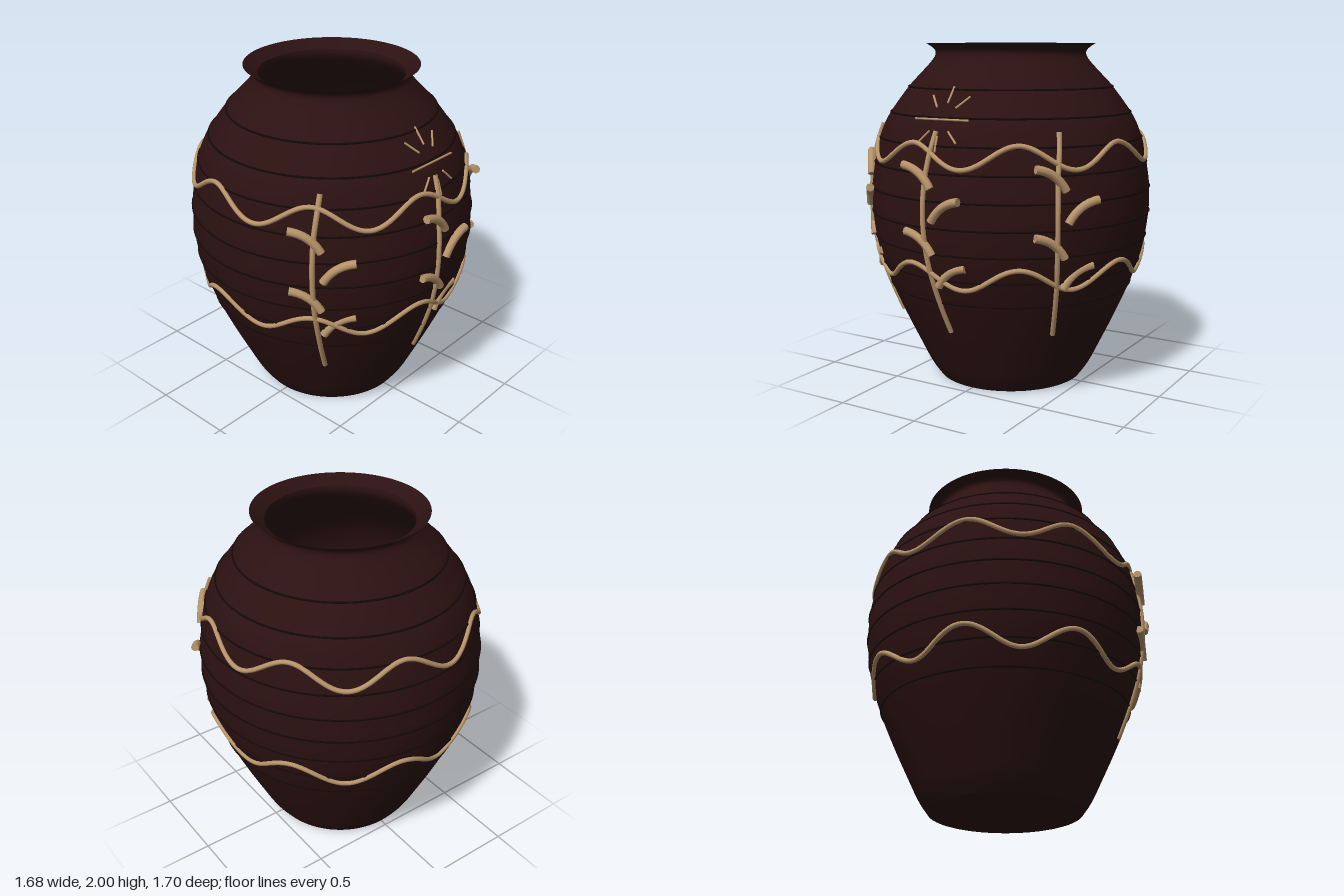
import * as THREE from 'three';
import { mergeGeometries } from 'three/addons/utils/BufferGeometryUtils.js';

const V3 = (x, y, z) => new THREE.Vector3(x, y, z);
const V2 = ([x, y]) => new THREE.Vector2(x, y);

// Outer wall of the jar as [radius, height]
const wall = new THREE.SplineCurve([
  [0.44, 0], [0.495, 0.08], [0.555, 0.2], [0.65, 0.4], [0.735, 0.6], [0.8, 0.8], [0.83, 1.0],
  [0.832, 1.12], [0.826, 1.22], [0.795, 1.4], [0.765, 1.5], [0.715, 1.6], [0.605, 1.75],
  [0.545, 1.815], [0.475, 1.89], [0.446, 1.935], [0.455, 1.968], [0.5, 2.0],
].map(V2)).getPoints(72);

// Radius of the wall at a height
function radiusAt(y) {
  const i = Math.max(1, wall.findIndex((p) => p.y >= y));
  const a = wall[i - 1], b = wall[i];
  return THREE.MathUtils.lerp(a.x, b.x, (y - a.y) / (b.y - a.y));
}

// Point on the wall: angle runs from the front towards +x
function onWall(angle, y, lift = 0) {
  const r = radiusAt(y) + lift;
  return V3(Math.sin(angle) * r, y, Math.cos(angle) * r);
}

// Round bar along a curve, closed by flat ends
function bar(curve, radius, segments, sides = 8) {
  const parts = [new THREE.TubeGeometry(curve, segments, radius, sides, false)];
  for (const t of [0, 1]) {
    const dir = curve.getTangentAt(t).multiplyScalar(t ? 1 : -1);
    const cap = new THREE.CircleGeometry(radius, sides);
    cap.applyQuaternion(new THREE.Quaternion().setFromUnitVectors(V3(0, 0, 1), dir));
    const p = curve.getPointAt(t);
    parts.push(cap.translate(p.x, p.y, p.z));
  }
  return mergeGeometries(parts);
}

export function createModel() {
  const model = new THREE.Group();
  model.name = 'jar';
  const material = (name, color) => {
    const m = new THREE.MeshStandardMaterial({ color });
    m.name = name;
    return m;
  };
  const clay = material('dark clay', 0x2c1111);
  const groove = material('blackened clay', 0x140808);
  const gold = material('pale gold', 0xb8956a);
  const add = (parent, name, geometry, mat) => {
    const mesh = new THREE.Mesh(geometry, mat);
    mesh.name = name;
    parent.add(mesh);
    return mesh;
  };

  // Body, lip, inside and base
  const inside = new THREE.SplineCurve([
    [0.42, 1.95], [0.425, 1.9], [0.5, 1.8], [0.66, 1.6], [0.745, 1.4], [0.78, 1.1],
    [0.75, 0.8], [0.6, 0.4], [0.42, 0.06],
  ].map(V2)).getPoints(32);
  add(model, 'body', new THREE.LatheGeometry(wall, 96), clay);
  add(model, 'lip', new THREE.LatheGeometry([[0.5, 2], [0.42, 1.95]].map(V2), 96), clay);
  add(model, 'inside', new THREE.LatheGeometry(inside, 96), clay);
  add(model, 'floor', new THREE.CircleGeometry(0.42, 64).rotateX(-Math.PI / 2), clay).position.y = 0.06;
  add(model, 'base', new THREE.CircleGeometry(0.44, 96).rotateX(Math.PI / 2), clay);

  // Thin turning rings around the body
  for (let i = 0; i < 9; i++) {
    const y = 0.585 + i * 0.1456;
    const ring = new THREE.TorusGeometry(radiusAt(y), 0.006, 6, 96).rotateX(Math.PI / 2);
    add(model, 'turningRing', ring, groove).position.y = y;
  }

  // Two wavy bands, eight waves each
  for (const [name, y] of [['upperWave', 1.405], ['lowerWave', 0.745]]) {
    const points = [];
    for (let i = 0; i < 96; i++) {
      const a = (i / 96) * Math.PI * 2;
      points.push(onWall(a, y - 0.065 * Math.sin(8 * a), 0.005));
    }
    const path = new THREE.CatmullRomCurve3(points, true);
    add(model, name, new THREE.TubeGeometry(path, 288, 0.014, 8, true), gold);
  }

  // Three stalks with four leaves each
  const stalkLine = [[0, 0.4], [-0.016, 0.55], [-0.03, 0.7], [-0.044, 0.85], [-0.051, 1.0],
    [-0.052, 1.15], [-0.045, 1.3], [-0.03, 1.42], [-0.014, 1.535]];
  for (const angle of [-0.9, 0, 0.9]) {
    const plant = new THREE.Group();
    plant.name = 'plant';
    plant.rotation.y = angle;
    model.add(plant);
    const path = new THREE.CatmullRomCurve3(stalkLine.map(([x, y]) => onWall(x / radiusAt(y), y, 0.004)));
    add(plant, 'stalk', bar(path, 0.015, 40), gold);
    for (const [side, y] of [[-1, 1.235], [1, 1.06], [-1, 0.87], [1, 0.69]]) {
      const z = radiusAt(y) + 0.01;
      const leaf = new THREE.QuadraticBezierCurve3(
        V3(side * 0.005, y, z), V3(side * 0.065, y + 0.105, z), V3(side * 0.18, y + 0.12, z));
      add(plant, 'leaf', bar(leaf, 0.024, 10), gold);
    }
  }

  // Star on the shoulder: one cross bar and rays laid on the slope
  const star = new THREE.Group();
  star.name = 'star';
  model.add(star);
  const z = radiusAt(1.6) + 0.008;
  add(star, 'crossBar', bar(new THREE.LineCurve3(V3(-0.172, 1.596, z), V3(0.172, 1.596, z)), 0.006, 1), gold);
  for (let i = 0; i < 8; i++) {
    if (i % 4 === 0) continue;
    const a = (i / 8) * Math.PI * 2;
    const end = (d) => {
      const x = d * Math.cos(a), y = 1.596 + d * Math.sin(a);
      return onWall(x / radiusAt(y), y, 0.004);
    };
    add(star, 'ray', bar(new THREE.LineCurve3(end(0.085), end(0.17)), 0.006, 1), gold);
  }

  model.position.z = -0.015;
  const root = new THREE.Group();
  root.name = 'decoratedJar';
  root.add(model);
  return root;
}
